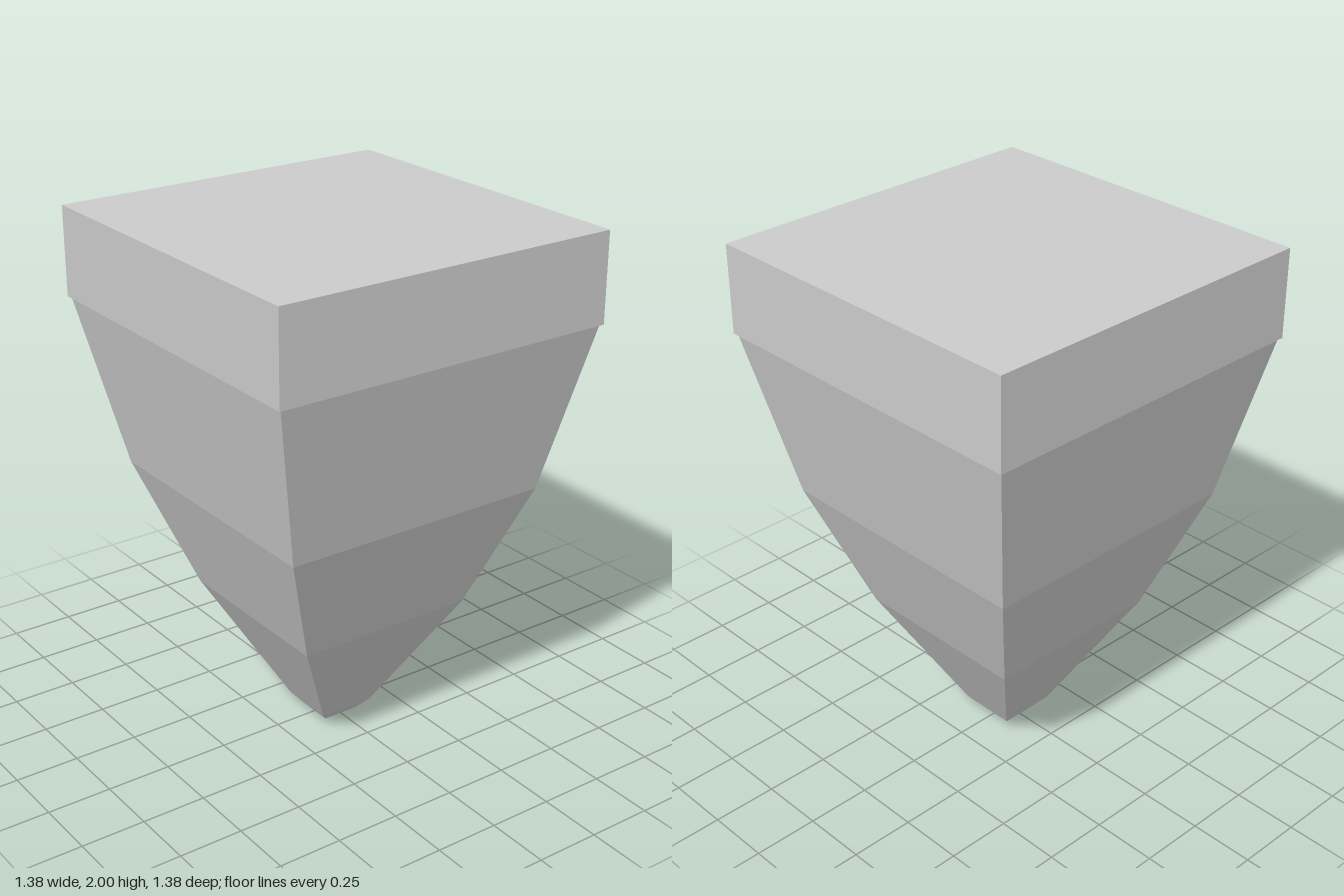
import * as THREE from 'three';

export function createModel() {
  const model = new THREE.Group();
  const material = new THREE.MeshStandardMaterial({ color: 0xcccccc, flatShading: true });

  // Square tapering body: [half width, height] from the blunt tip upwards
  const profile = [[0, 0], [0.073, 0], [0.112, 0.045], [0.362, 0.515], [0.542, 1.005], [0.68, 1.655]];
  const points = profile.map(([half, y]) => new THREE.Vector2(half * Math.SQRT2, y));
  const body = new THREE.Mesh(new THREE.LatheGeometry(points, 4, Math.PI / 4), material);
  body.name = 'taperedBody';
  model.add(body);

  // Slightly overhanging square slab on top
  const capBottom = 1.655, capTop = 2;
  const cap = new THREE.Mesh(new THREE.BoxGeometry(1.38, capTop - capBottom, 1.38), material);
  cap.position.y = (capBottom + capTop) / 2;
  cap.name = 'topSlab';
  model.add(cap);

  return model;
}
